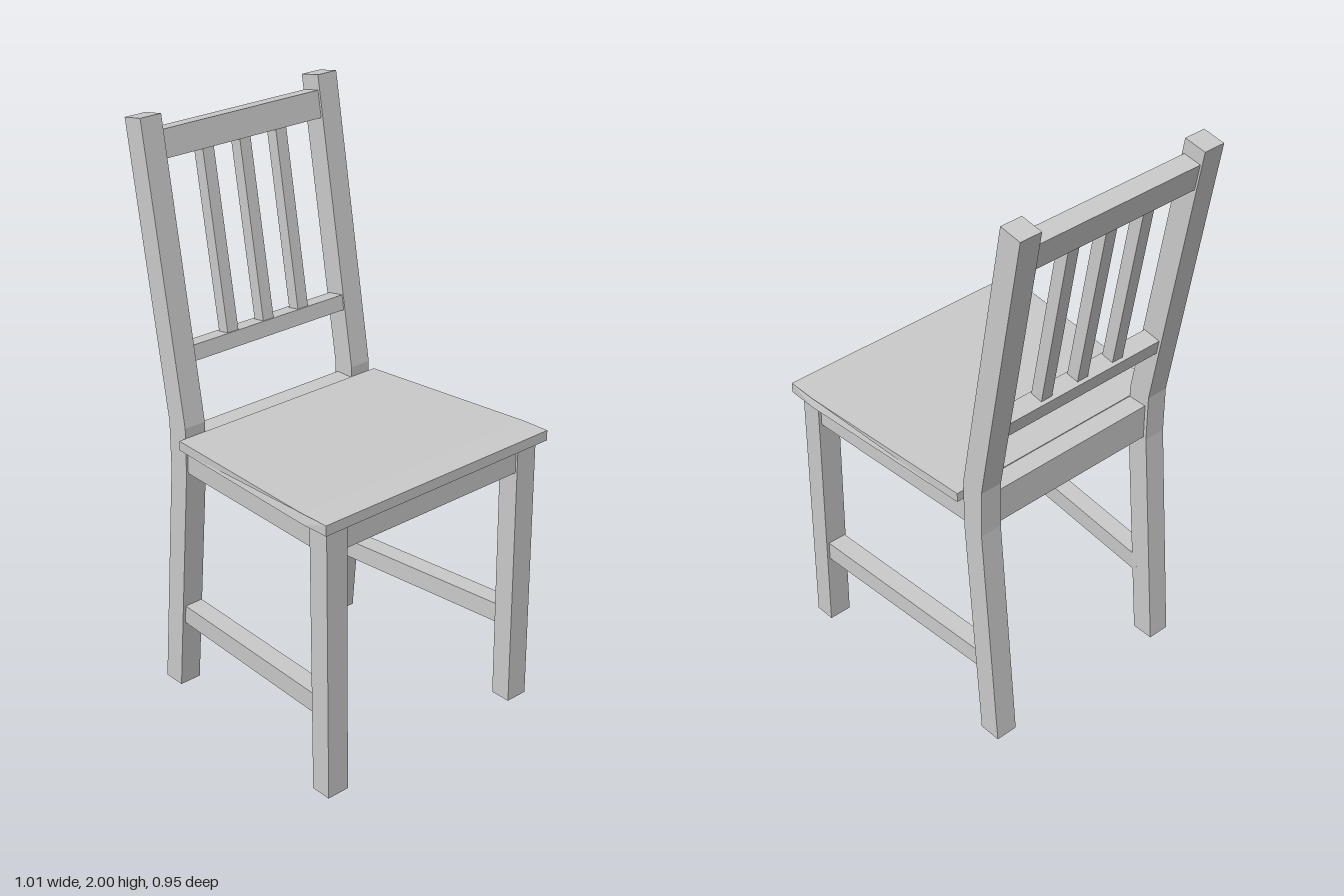
import * as THREE from 'three';

const material = new THREE.MeshStandardMaterial({ color: 0xcccccc, flatShading: true });

// Side outline in x/y, extruded across z from z0 to z1
function slab(name, outline, z0, z1) {
  const shape = new THREE.Shape(outline.map(([x, y]) => new THREE.Vector2(x, y)));
  const geometry = new THREE.ExtrudeGeometry(shape, { depth: z1 - z0, bevelEnabled: false });
  geometry.translate(0, 0, z0);
  const mesh = new THREE.Mesh(geometry, material);
  mesh.name = name;
  return mesh;
}

// Rewrites z of every vertex by a rule
function bend(mesh, rule) {
  const p = mesh.geometry.attributes.position;
  for (let i = 0; i < p.count; i++) p.setZ(i, rule(p.getX(i), p.getZ(i)));
  mesh.geometry.computeVertexNormals();
  return mesh;
}

// Backrest outline: the front face leans back above the seat
const LEAN = 0.172;
const frontX = (y) => -0.26 - LEAN * (y - 1.01);
function leaning(bottom, top, inset, depth) {
  const corner = (y, d) => [frontX(y) - d, y - LEAN * d];
  return [corner(bottom, inset), corner(top, inset), corner(top, inset + depth), corner(bottom, inset + depth)];
}

export function createModel() {
  const chair = new THREE.Group();
  chair.name = 'chair';

  // Seat board, wider towards the front
  const seat = slab('seat', [
    [-0.26, 0.942], [0.4, 0.961], [0.505, 0.964], [0.505, 1.0], [0.4, 0.997], [-0.26, 0.975],
  ], -1, 1);
  bend(seat, (x, z) => Math.sign(z) * (0.425 + 0.05 * Math.min(1, (x + 0.26) / 0.66)));
  chair.add(seat);

  const backLeg = [
    [-0.415, 0], [-0.335, 0], [-0.262, 0.84], [-0.26, 1.01],
    [-0.43, 2.0], [-0.51, 1.986], [-0.343, 1.01], [-0.342, 0.84],
  ];
  const frontLeg = [[0.413, 0], [0.487, 0], [0.479, 0.963], [0.402, 0.961]];
  const stretcher = [[-0.33, 0.255], [0.43, 0.28], [0.43, 0.35], [-0.33, 0.322]];
  const apron = [[-0.28, 0.846], [0.42, 0.87], [0.42, 0.961], [-0.28, 0.941]];

  // Legs and side rails; the rails splay outwards to the front legs
  const splay = (x) => 0.05 * (x + 0.3) / 0.71;
  for (const s of [1, -1]) {
    const side = (name, outline, inner, outer) =>
      slab(name, outline, Math.min(s * inner, s * outer), Math.max(s * inner, s * outer));
    chair.add(side('backLeg', backLeg, 0.32, 0.4));
    chair.add(side('frontLeg', frontLeg, 0.368, 0.45));
    for (const [name, outline] of [['sideStretcher', stretcher], ['sideApron', apron]]) {
      chair.add(bend(side(name, outline, 0.322, 0.39), (x, z) => z + s * splay(x)));
    }
  }

  // Cross aprons under the seat
  chair.add(slab('frontApron', [[0.41, 0.868], [0.472, 0.87], [0.472, 0.963], [0.41, 0.961]], -0.37, 0.37));
  chair.add(slab('rearApron', [[-0.33, 0.845], [-0.26, 0.845], [-0.26, 0.972], [-0.33, 0.972]], -0.32, 0.32));

  // Backrest rails and slats
  chair.add(slab('topRail', leaning(1.86, 1.95, 0.008, 0.065), -0.325, 0.325));
  chair.add(slab('lowerRail', leaning(1.212, 1.264, 0.006, 0.065), -0.325, 0.325));
  for (const z of [-0.15, 0, 0.15]) {
    chair.add(slab('backSlat', leaning(1.25, 1.87, 0.012, 0.045), z - 0.022, z + 0.022));
  }
  return chair;
}
